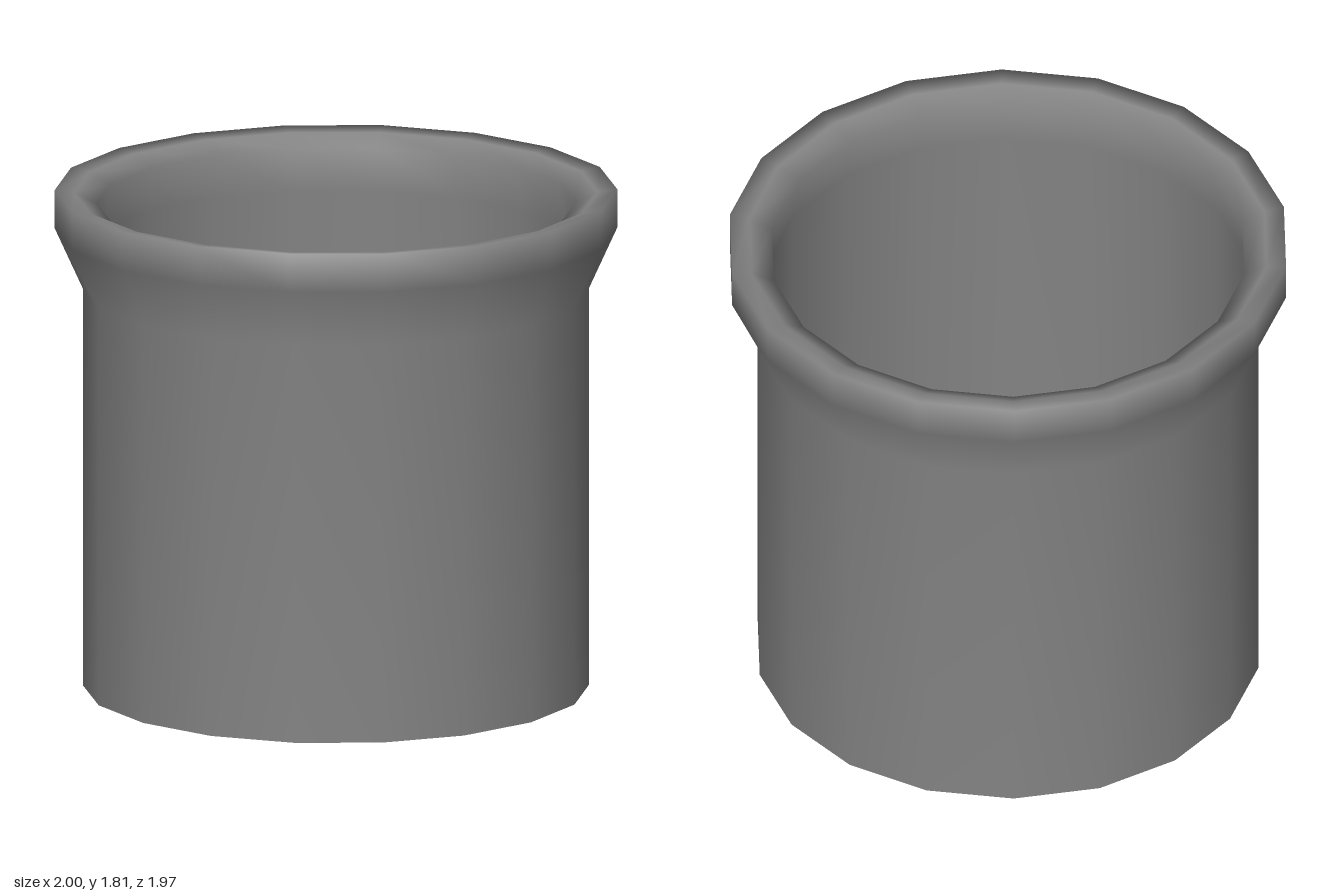
import * as THREE from 'three';

const SIDES = 18;

// Smooth turned surface; the first corner lies on the x axis.
function turned(name, profile, material) {
  const points = profile.map(([r, y]) => new THREE.Vector2(r, y));
  const mesh = new THREE.Mesh(new THREE.LatheGeometry(points, SIDES, Math.PI / 2), material);
  mesh.name = name;
  return mesh;
}

export function createModel() {
  const group = new THREE.Group();
  group.name = 'pot';
  const darkGrey = new THREE.MeshStandardMaterial({ color: 0x848484, side: THREE.DoubleSide });

  // Straight outer wall, flared collar, rolled lip and inner wall in one skin
  group.add(turned('wallAndRim', [
    [0.9, 0], [0.9, 1.45], [1, 1.67], [1, 1.81],
    [0.93, 1.8], [0.85, 1.76], [0.87, 1.6], [0.87, 0.05],
  ], darkGrey));

  // Flat underside and inner floor
  group.add(turned('underside', [[0, 0], [0.9, 0]], darkGrey));
  group.add(turned('innerFloor', [[0.87, 0.05], [0, 0.05]], darkGrey));

  return group;
}
